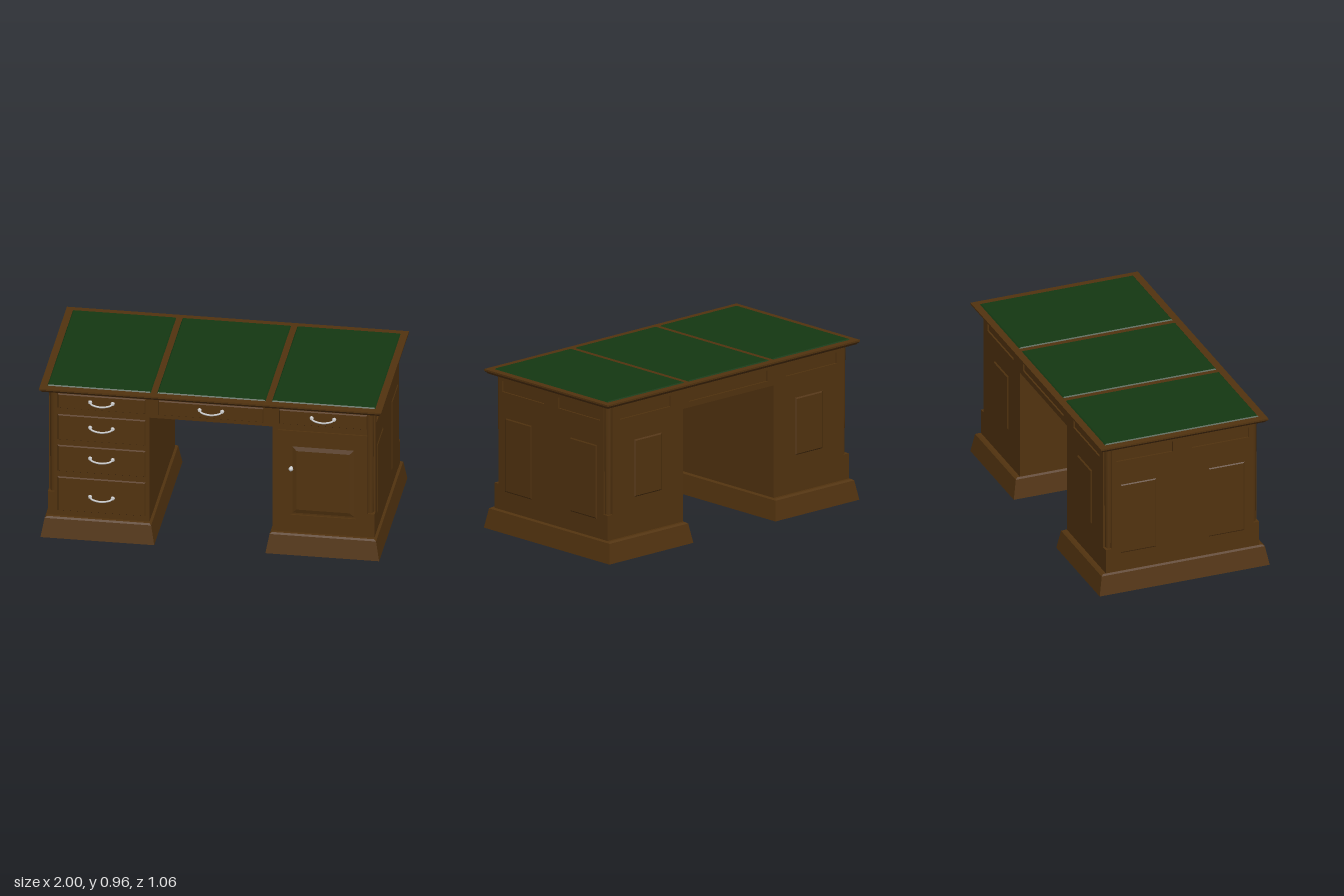
import * as THREE from 'three';

const wood = new THREE.MeshStandardMaterial({ color: 0x52330f });
const leather = new THREE.MeshStandardMaterial({ color: 0x143812 });
const metal = new THREE.MeshStandardMaterial({ color: 0xc4c4c8 });

function add(parent, name, geometry, material, x = 0, y = 0, z = 0) {
  const mesh = new THREE.Mesh(geometry, material);
  mesh.name = name;
  mesh.position.set(x, y, z);
  parent.add(mesh);
  return mesh;
}

// Box given by its limits
function block(parent, name, x0, x1, y0, y1, z0, z1, material = wood) {
  const g = new THREE.BoxGeometry(Math.abs(x1 - x0), y1 - y0, z1 - z0);
  return add(parent, name, g, material, (x0 + x1) / 2, (y0 + y1) / 2, (z0 + z1) / 2);
}

// Box whose +z face (or +y face) is drawn in by an inset
function tapered(w, h, d, axis, inset) {
  const g = new THREE.BoxGeometry(w, h, d);
  const p = g.attributes.position;
  for (let i = 0; i < p.count; i++) {
    const along = axis === 'y' ? p.getY(i) : p.getZ(i);
    if (along <= 0) continue;
    p.setX(i, p.getX(i) - Math.sign(p.getX(i)) * inset);
    if (axis === 'y') p.setZ(i, p.getZ(i) - Math.sign(p.getZ(i)) * inset);
    else p.setY(i, p.getY(i) - Math.sign(p.getY(i)) * inset);
  }
  g.computeVertexNormals();
  return g;
}

// Flat plate in the xy plane with rectangular holes, each rect is [x0, x1, y0, y1]
function plate(rect, holes, depth) {
  const trace = (path, [x0, x1, y0, y1]) =>
    path.moveTo(x0, y0).lineTo(x1, y0).lineTo(x1, y1).lineTo(x0, y1).lineTo(x0, y0);
  const shape = trace(new THREE.Shape(), rect);
  holes.forEach((h) => shape.holes.push(trace(new THREE.Path(), h)));
  return new THREE.ExtrudeGeometry(shape, { depth, bevelEnabled: false });
}

// Curved drawer pull with two round mounts
function addHandle(parent, x, y) {
  const handle = new THREE.Group();
  handle.name = 'drawerHandle';
  handle.position.set(x, y, 0.487);
  const curve = new THREE.CatmullRomCurve3(
    [[-0.066, 0.008, 0.004], [-0.055, 0.002, 0.02], [0, -0.008, 0.026], [0.055, 0.002, 0.02], [0.066, 0.008, 0.004]]
      .map((p) => new THREE.Vector3(...p)));
  add(handle, 'grip', new THREE.TubeGeometry(curve, 14, 0.006, 6), metal);
  for (const s of [-1, 1]) {
    const mount = add(handle, 'mount', new THREE.CylinderGeometry(0.008, 0.013, 0.014, 8), metal, s * 0.066, 0.008, 0.006);
    mount.rotation.x = Math.PI / 2;
  }
  parent.add(handle);
}

function addDrawer(parent, x, w, y0, y1, handleY) {
  add(parent, 'drawerFront', tapered(w, y1 - y0, 0.014, 'z', 0.008), wood, x, (y0 + y1) / 2, 0.48);
  addHandle(parent, x, handleY);
}

function addPedestal(parent, s) {
  const ped = new THREE.Group();
  ped.name = s > 0 ? 'leftPedestal' : 'rightPedestal';
  parent.add(ped);
  const cx = s * 0.6575;

  // Flared plinth with a small chamfered lip
  add(ped, 'plinth', tapered(0.665, 0.116, 1.06, 'y', 0.021), wood, cx, 0.058, 0);
  add(ped, 'plinthLip', tapered(0.623, 0.008, 1.018, 'y', 0.012), wood, cx, 0.12, 0);

  // Body, notched at the outer corners above the base
  block(ped, 'bodyBase', s * 0.36, s * 0.955, 0.12, 0.275, -0.478, 0.478);
  block(ped, 'bodyCore', s * 0.36, s * 0.915, 0.275, 0.935, -0.468, 0.478);
  block(ped, 'bodySide', s * 0.36, s * 0.945, 0.275, 0.935, -0.442, 0.442);

  // Corner columns
  for (const z of [-0.448, 0.448]) {
    const col = add(ped, 'cornerColumn', new THREE.CylinderGeometry(0.025, 0.02, 0.66, 8), wood, s * 0.924, 0.605, z);
    col.rotation.y = Math.PI / 8;
  }

  // Outer side: frieze recesses over two raised panels
  const side = new THREE.Group();
  side.name = 'sidePanelling';
  side.position.x = s * 0.945;
  side.rotation.y = s * Math.PI / 2;
  ped.add(side);
  add(side, 'sideFrame', plate([-0.442, 0.442, 0.275, 0.935],
    [[-0.412, -0.06, 0.835, 0.9], [0.06, 0.412, 0.835, 0.9]], 0.01), wood);
  for (const x of [-0.275, 0.275])
    add(side, 'sidePanel', tapered(0.25, 0.47, 0.012, 'z', 0.02), wood, x, 0.46, 0.008);

  // Back: frieze recess over one raised panel
  const back = new THREE.Group();
  back.name = 'backPanelling';
  back.position.set(cx, 0, -0.468);
  back.rotation.y = Math.PI;
  ped.add(back);
  const a = s > 0 ? -0.2575 : -0.2975;
  add(back, 'backFrame', plate([a, a + 0.555, 0.275, 0.935], [[-0.2, 0.2, 0.835, 0.9]], 0.01), wood);
  add(back, 'backPanel', tapered(0.23, 0.36, 0.014, 'z', 0.015), wood, s * 0.02, 0.52, 0.01);
  return ped;
}

export function createModel() {
  const desk = new THREE.Group();
  desk.name = 'pedestalDesk';
  const cupboard = addPedestal(desk, 1);
  const drawers = addPedestal(desk, -1);

  // Drawer stack: bottom, top, handle height
  for (const [y0, y1, h] of [[0.82, 0.92, 0.87], [0.615, 0.785, 0.705], [0.41, 0.585, 0.505], [0.155, 0.38, 0.255]])
    addDrawer(drawers, -0.64, 0.52, y0, y1, h);

  // Cupboard: drawer above a framed door
  addDrawer(cupboard, 0.655, 0.52, 0.82, 0.92, 0.87);
  add(cupboard, 'doorFrame', plate([0.395, 0.915, 0.155, 0.785], [[0.465, 0.845, 0.24, 0.69]], 0.009), wood, 0, 0, 0.478);
  add(cupboard, 'doorPanel', tapered(0.36, 0.43, 0.008, 'z', 0.025), wood, 0.655, 0.465, 0.482);
  const stem = add(cupboard, 'doorKnobStem', new THREE.CylinderGeometry(0.006, 0.009, 0.02, 8), metal, 0.47, 0.545, 0.492);
  stem.rotation.x = Math.PI / 2;
  add(cupboard, 'doorKnob', new THREE.SphereGeometry(0.014, 8, 6), metal, 0.47, 0.545, 0.503);

  // Apron bridging the knee space, with a recess at the back
  block(desk, 'apron', -0.36, 0.36, 0.8, 0.935, -0.468, 0.478);
  const apronBack = add(desk, 'apronBack', plate([-0.36, 0.36, 0.8, 0.935], [[-0.31, 0.31, 0.835, 0.9]], 0.01), wood, 0, 0, -0.468);
  apronBack.rotation.y = Math.PI;
  addDrawer(desk, 0, 0.62, 0.82, 0.92, 0.87);

  // Desk top with a moulded underside
  const moulding = add(desk, 'topMoulding', tapered(2, 0.018, 1.044, 'y', 0.016), wood, 0, 0.94, -0.004);
  moulding.rotation.x = Math.PI;
  block(desk, 'topBoard', -1, 1, 0.948, 0.958, -0.526, 0.518);

  // Three leather writing surfaces
  for (const [x, w] of [[-0.656, 0.608], [0, 0.638], [0.656, 0.608]])
    add(desk, 'leatherInlay', tapered(w, 0.008, 0.96, 'y', 0.008), leather, x, 0.96, -0.005);
  return desk;
}
